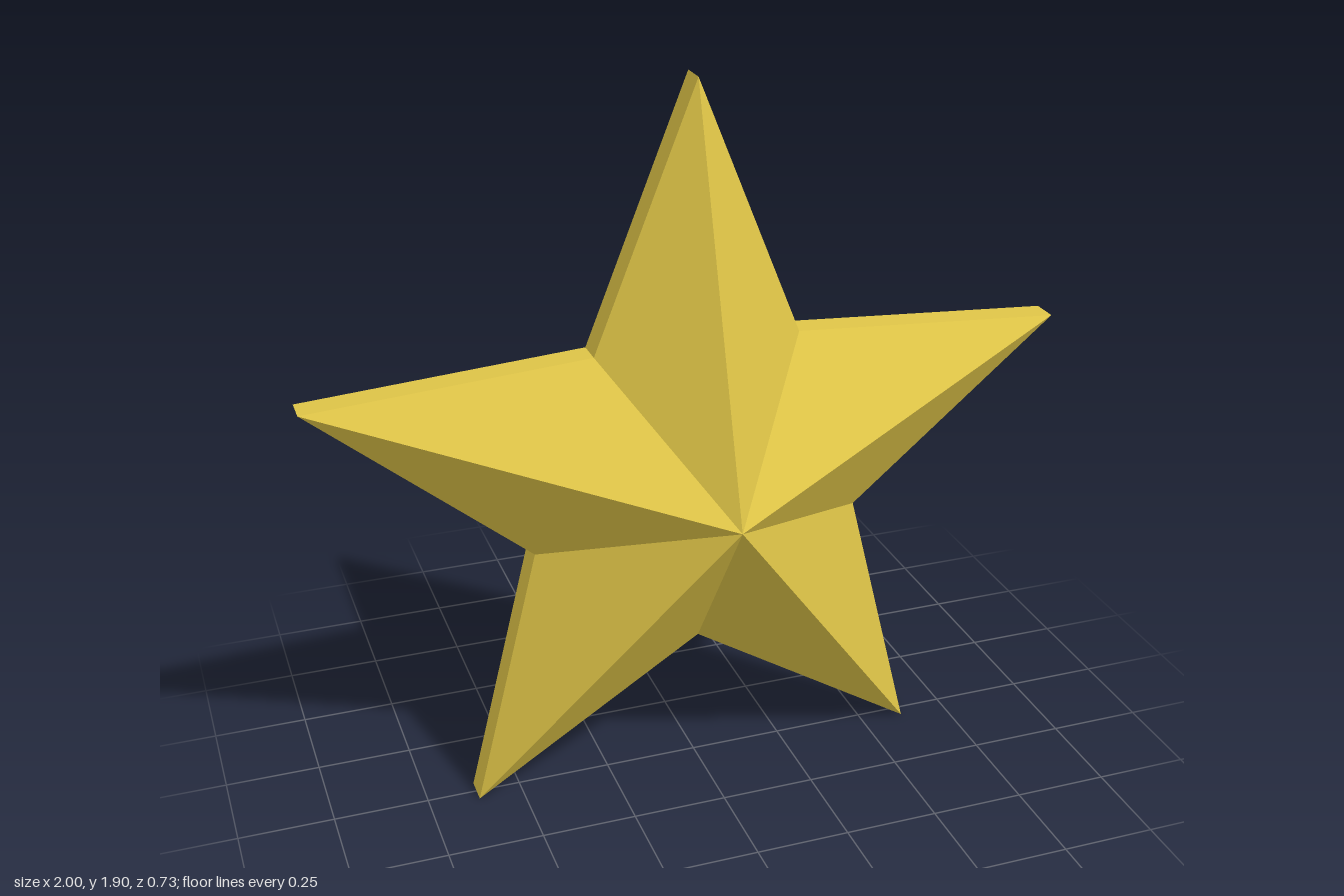
import * as THREE from 'three';

const POINTS = 5;
const OUTER = 1 / Math.cos(Math.PI / 10); // tip radius giving a width of 2
const INNER = 0.463;
const CENTER_Y = OUTER * Math.cos(Math.PI / POINTS); // lower tips rest on y = 0
const RIM = 0.037; // half thickness of the rim
const APEX = 0.363; // height of the faceted centre

// Outline corner, counter-clockwise from the top tip
function corner(i, z) {
  const r = i % 2 === 0 ? OUTER : INNER;
  const a = (i * Math.PI) / POINTS;
  return [-r * Math.sin(a), CENTER_Y + r * Math.cos(a), z];
}

function facetMesh(name, triangles, material) {
  const geometry = new THREE.BufferGeometry();
  geometry.setAttribute('position', new THREE.Float32BufferAttribute(triangles.flat(2), 3));
  geometry.computeVertexNormals(); // unshared corners keep every facet flat
  const mesh = new THREE.Mesh(geometry, material);
  mesh.name = name;
  return mesh;
}

export function createModel() {
  const gold = new THREE.MeshStandardMaterial({ color: 0xdec447, flatShading: true });
  gold.name = 'gold';

  const front = [], back = [], rim = [];
  for (let i = 0; i < POINTS * 2; i++) {
    const a = corner(i, RIM), b = corner(i + 1, RIM);
    const c = corner(i, -RIM), d = corner(i + 1, -RIM);
    front.push([[0, CENTER_Y, APEX], a, b]);
    back.push([[0, CENTER_Y, -APEX], d, c]);
    rim.push([a, c, d], [a, d, b]);
  }

  const star = new THREE.Group();
  star.name = 'star';
  star.add(
    facetMesh('frontFacets', front, gold),
    facetMesh('backFacets', back, gold),
    facetMesh('rim', rim, gold)
  );
  return star;
}
